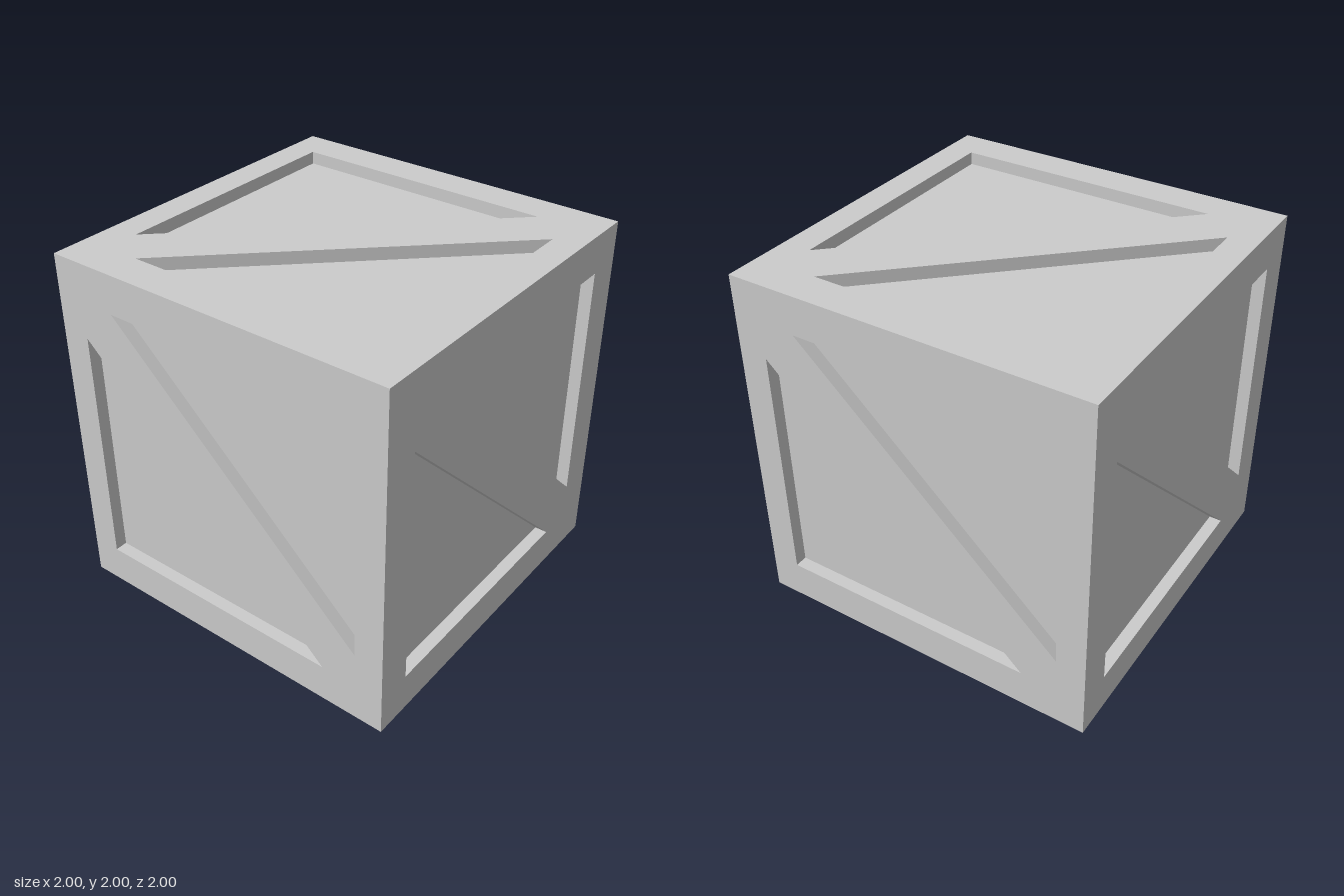
import * as THREE from 'three';

const DEPTH = 0.07;
const material = new THREE.MeshStandardMaterial({ color: 0xcccccc, flatShading: true });

// Sunken triangle: floor plus three inward-facing walls (corners counter-clockwise)
function recessGeometry(corners) {
  const top = corners.map(([x, y]) => [x, y, 0]);
  const low = corners.map(([x, y]) => [x, y, -DEPTH]);
  const triangles = [...low];
  for (let i = 0; i < 3; i++) {
    const j = (i + 1) % 3;
    triangles.push(top[i], top[j], low[j], top[i], low[j], low[i]);
  }
  const geometry = new THREE.BufferGeometry();
  geometry.setAttribute('position', new THREE.Float32BufferAttribute(triangles.flat(), 3));
  geometry.computeVertexNormals();
  return geometry;
}

// One crate face: flat frame with a diagonal brace between two sunken triangles
function createFace(name, { right, top, topStart, sideEnd }) {
  const face = new THREE.Group();
  face.name = name;
  const upper = [[right, -sideEnd], [right, top], [-topStart, top]];
  const lower = upper.map(([x, y]) => [-x, -y]);

  const frame = new THREE.Shape([[-1, -1], [1, -1], [1, 1], [-1, 1]].map((p) => new THREE.Vector2(...p)));
  for (const corners of [upper, lower]) {
    frame.holes.push(new THREE.Path(corners.map((p) => new THREE.Vector2(...p))));
  }
  const add = (partName, geometry) => {
    const mesh = new THREE.Mesh(geometry.translate(0, 0, 1), material);
    mesh.name = partName;
    face.add(mesh);
  };
  add('frameWithBrace', new THREE.ShapeGeometry(frame));
  add('upperPanel', recessGeometry(upper));
  add('lowerPanel', recessGeometry(lower));
  return face;
}

export function createModel() {
  const crate = new THREE.Group();
  crate.name = 'crate';
  const body = new THREE.Group();
  body.name = 'body';
  body.position.y = 1;
  crate.add(body);

  // Four sides, opposite ones alike
  const frontBack = { right: 0.8, top: 0.783, topStart: 0.6, sideEnd: 0.58 };
  const leftRight = { right: 0.835, top: 0.783, topStart: 0.635, sideEnd: 0.58 };
  ['frontFace', 'leftFace', 'backFace', 'rightFace'].forEach((name, i) => {
    const face = createFace(name, i % 2 ? leftRight : frontBack);
    face.rotation.y = (i * Math.PI) / 2;
    body.add(face);
  });

  // Lid
  const lid = createFace('topFace', { right: 0.8, top: 0.838, topStart: 0.61, sideEnd: 0.645 });
  lid.rotation.x = -Math.PI / 2;
  body.add(lid);

  // Plain underside
  const bottom = new THREE.Mesh(new THREE.PlaneGeometry(2, 2), material);
  bottom.name = 'bottomFace';
  bottom.rotation.x = Math.PI / 2;
  bottom.position.y = -1;
  body.add(bottom);

  return crate;
}
